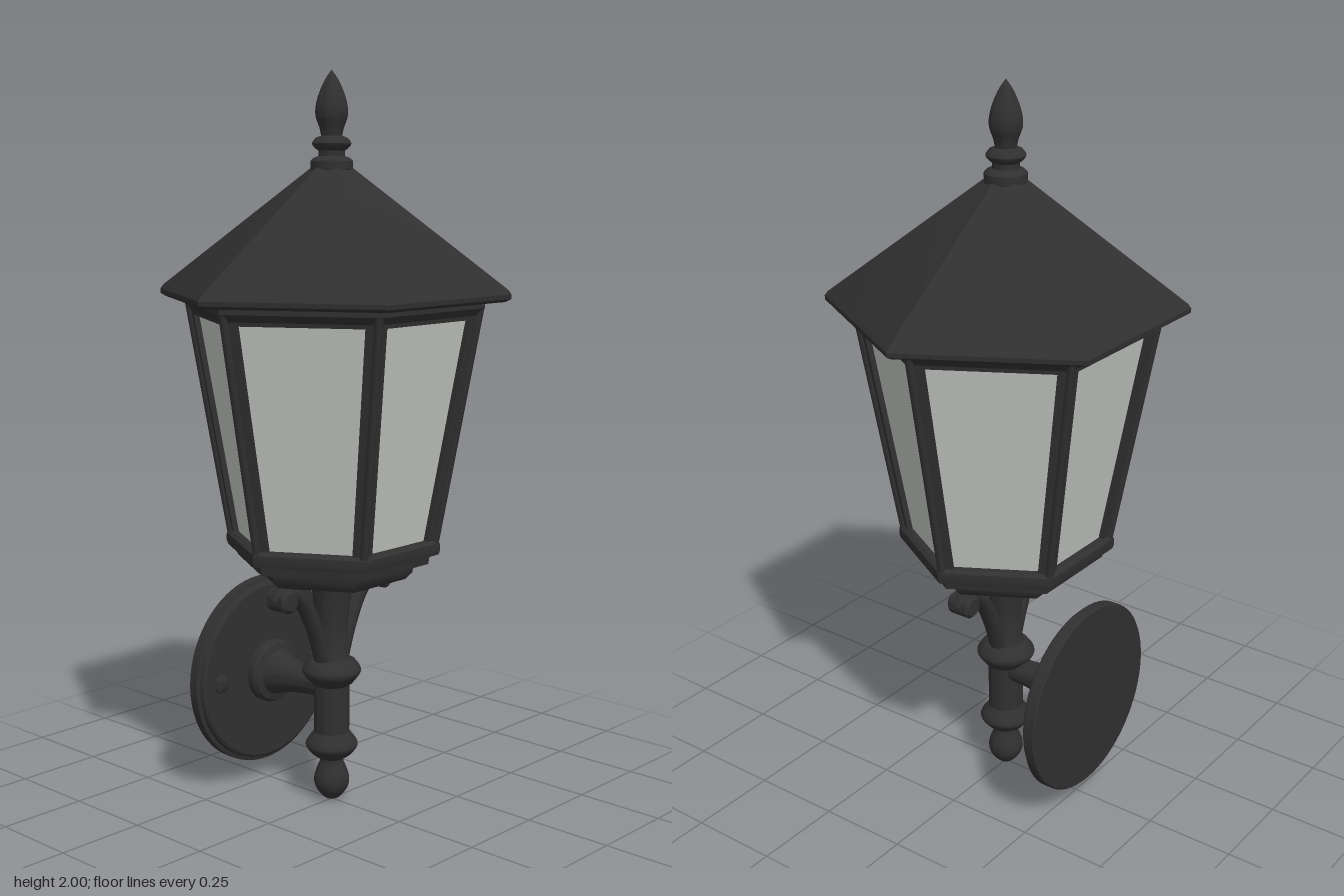
import * as THREE from 'three';
import { toCreasedNormals } from 'three/addons/utils/BufferGeometryUtils.js';

const metal = new THREE.MeshStandardMaterial({ color: 0x303030 });
metal.name = 'black metal';
const glass = new THREE.MeshStandardMaterial({ color: 0xc2c6c0 });
glass.name = 'frosted glass';

function add(parent, name, geometry, material = metal) {
  const mesh = new THREE.Mesh(geometry, material);
  mesh.name = name;
  parent.add(mesh);
  return mesh;
}

// Turned solid from [radius, height] pairs, listed from bottom to top
function turned(profile, sides = 40) {
  const points = profile.map(([r, y]) => new THREE.Vector2(r, y));
  return toCreasedNormals(new THREE.LatheGeometry(points, sides), 0.6);
}

// Six-sided solid with corners on the x axis
const hexagonal = (profile) => turned(profile, 6).rotateY(Math.PI / 6);

// Symmetric trapezium, given half widths
function trapezium(Type, low, lowY, high, highY) {
  return new Type([[-low, lowY], [low, lowY], [high, highY], [-high, highY]]
    .map(([x, y]) => new THREE.Vector2(x, y)));
}

// Swelling spindle from smooth profile points
function smoothProfile(points, count) {
  const curve = new THREE.SplineCurve(points.map(([r, y]) => new THREE.Vector2(r, y)));
  return curve.getPoints(count).map((p) => [Math.max(p.x, 0), p.y]);
}

export function createModel() {
  const lamp = new THREE.Group();
  lamp.name = 'wallLantern';

  // Roof and the moulding beneath it
  add(lamp, 'roof', hexagonal([
    [0, 1.402], [0.465, 1.402], [0.48, 1.41], [0.481, 1.422], [0.472, 1.434], [0.05, 1.752], [0, 1.755],
  ]));
  add(lamp, 'topMoulding', hexagonal([
    [0.36, 1.365], [0.395, 1.365], [0.412, 1.385], [0.412, 1.404], [0, 1.404],
  ]));

  // Finial
  add(lamp, 'finial', turned([
    [0.05, 1.735], [0.056, 1.742], [0.056, 1.765], [0.048, 1.773], [0.035, 1.778], [0.035, 1.792],
    ...smoothProfile([[0.042, 1.796], [0.052, 1.81], [0.042, 1.825]], 8),
    ...smoothProfile([[0.028, 1.83], [0.032, 1.85], [0.043, 1.885], [0.038, 1.925], [0.02, 1.97], [0, 2]], 24),
  ], 32));

  // Six leaning window frames, each with a recessed pane
  const lean = Math.atan2(0.104, 0.67);
  const place = (geometry, angle) => geometry.rotateX(lean).translate(0, 0.72, 0.2425).rotateY(angle);
  for (let i = 0; i < 6; i++) {
    const angle = i * Math.PI / 3;
    const outline = trapezium(THREE.Shape, 0.14, 0, 0.2, 0.678);
    outline.holes.push(trapezium(THREE.Path, 0.112, 0.035, 0.164, 0.643));
    const frame = new THREE.ExtrudeGeometry(outline, { depth: 0.03, bevelEnabled: false });
    add(lamp, 'windowFrame', place(frame.translate(0, 0, -0.03), angle));
    const pane = new THREE.ShapeGeometry(trapezium(THREE.Shape, 0.117, 0.03, 0.169, 0.65));
    add(lamp, 'windowPane', place(pane.translate(0, 0, -0.015), angle), glass);
    // Slim bead along the corner between two frames
    const low = new THREE.Vector3(0.28, 0.72, 0).applyAxisAngle(THREE.Object3D.DEFAULT_UP, angle);
    const high = new THREE.Vector3(0.4, 1.39, 0).applyAxisAngle(THREE.Object3D.DEFAULT_UP, angle);
    add(lamp, 'cornerBead', new THREE.TubeGeometry(new THREE.LineCurve3(low, high), 1, 0.011, 8));
  }

  // Stepped tray under the windows
  add(lamp, 'lanternBase', hexagonal([
    [0, 0.645], [0.205, 0.645], [0.225, 0.665], [0.228, 0.685], [0.268, 0.69], [0.272, 0.714],
    [0.296, 0.718], [0.3, 0.73], [0.299, 0.75], [0.288, 0.758], [0, 0.758],
  ]));

  // Turned upright
  add(lamp, 'stem', turned([
    ...smoothProfile([[0, 0], [0.022, 0.008], [0.044, 0.035], [0.049, 0.065], [0.038, 0.1]], 20),
    [0.033, 0.11], [0.034, 0.122], [0.048, 0.13],
    ...smoothProfile([[0.055, 0.135], [0.073, 0.162], [0.055, 0.192]], 10),
    [0.049, 0.2], [0.05, 0.335], [0.06, 0.342],
    ...smoothProfile([[0.066, 0.35], [0.082, 0.376], [0.066, 0.403]], 10),
    [0.05, 0.41], [0.043, 0.43], [0.046, 0.53], [0.054, 0.6], [0.062, 0.65],
  ]));

  // Scrolled braces on both sides
  for (const side of [1, -1]) {
    const brace = new THREE.Group();
    brace.name = side > 0 ? 'leftBrace' : 'rightBrace';
    const path = new THREE.CatmullRomCurve3([
      [0.035, 0.41], [0.065, 0.495], [0.11, 0.58], [0.155, 0.622], [0.195, 0.628], [0.21, 0.605],
    ].map(([x, y]) => new THREE.Vector3(side * x, y, 0)));
    add(brace, 'braceArm', new THREE.TubeGeometry(path, 28, 0.022, 10).scale(1, 1, 1.2));
    const curl = turned([[0, -0.036], [0.024, -0.036], [0.032, -0.028], [0.032, 0.028], [0.024, 0.036], [0, 0.036]], 24);
    add(brace, 'braceCurl', curl.rotateX(Math.PI / 2).translate(side * 0.193, 0.61, 0));
    lamp.add(brace);
  }

  // Wall mount, turned about the z axis
  const mount = new THREE.Group();
  mount.name = 'wallMount';
  mount.position.y = 0.325;
  lamp.add(mount);
  add(mount, 'mountArm', turned([
    [0, 0.02], [0.036, 0.02], [0.037, 0.08], [0.043, 0.13], [0.052, 0.17], [0.064, 0.207],
    [0.083, 0.212], [0.09, 0.222], [0.09, 0.25],
  ]).rotateX(-Math.PI / 2));
  add(mount, 'wallPlate', turned([
    [0, 0.242], [0.25, 0.242], [0.257, 0.247], [0.259, 0.257], [0.27, 0.26], [0.27, 0.286], [0.266, 0.29], [0, 0.29],
  ], 64).rotateX(-Math.PI / 2));
  for (const x of [-0.19, 0.19]) {
    const screw = turned([[0, 0.228], [0.015, 0.23], [0.026, 0.236], [0.028, 0.245]], 20);
    add(mount, 'screw', screw.rotateX(-Math.PI / 2).translate(x, 0, 0));
  }
  return lamp;
}
